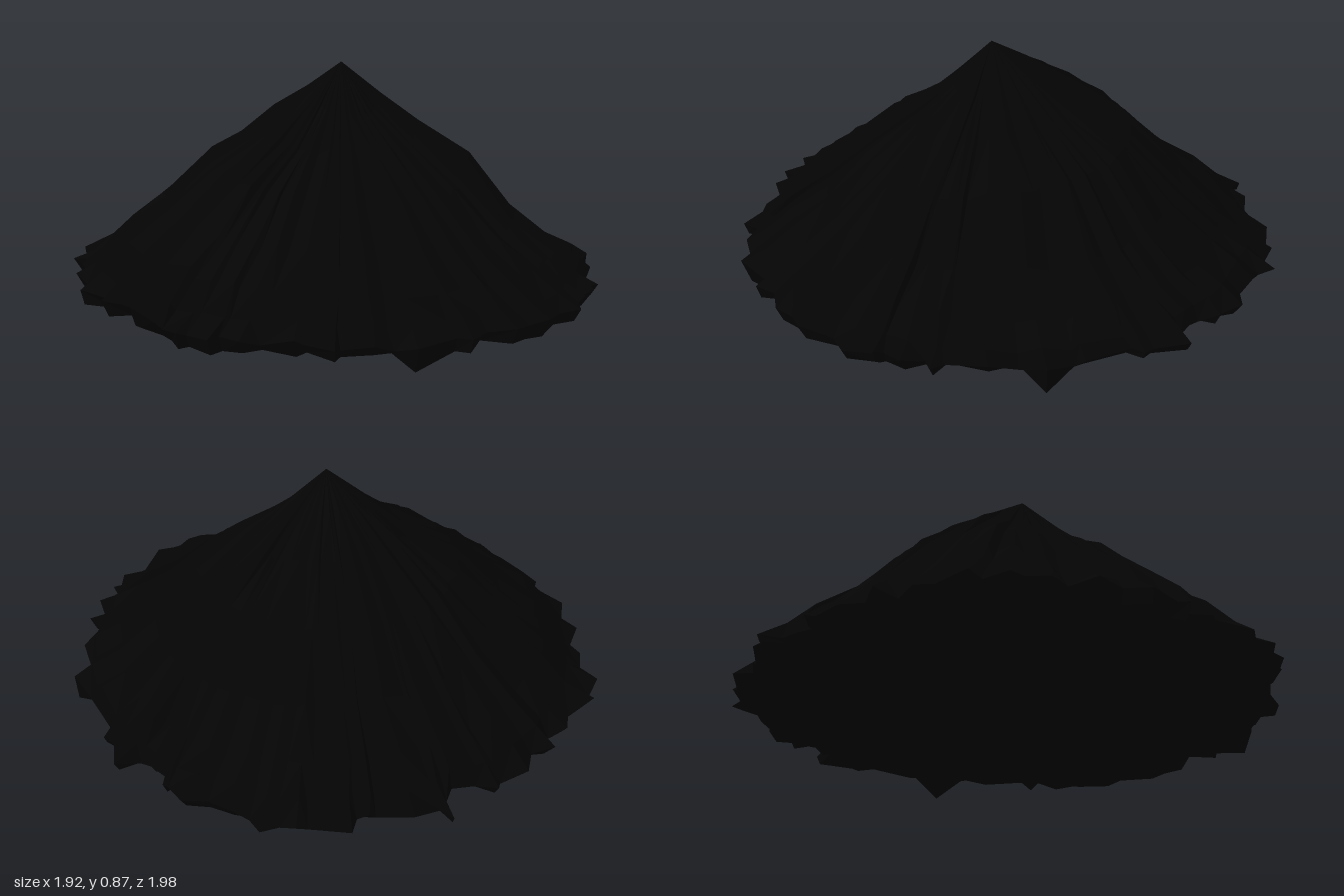
import * as THREE from 'three';

// Rim teeth: [angle in degrees from +x towards +z, radius]
const TEETH = [
  [-1, 0.93], [12, 0.9], [21, 0.95], [33, 0.925], [44.5, 0.955], [51, 0.96], [57, 0.955],
  [63.5, 0.985], [75.5, 0.99], [84, 0.985], [94.5, 0.985], [106, 1.0], [114, 0.975],
  [121.5, 1.0], [129.5, 0.945], [140, 0.98], [146, 1.0], [153, 1.0], [160, 0.97],
  [171, 0.92], [180, 0.955], [190, 0.975], [201, 0.965], [210, 0.95], [218, 1.01],
  [225.5, 1.01], [236.5, 0.96], [244.5, 0.975], [253, 0.96], [262, 0.96], [271, 0.88],
  [274.5, 1.0], [282, 0.96], [291, 0.92], [295, 0.98], [306, 0.98], [313, 1.0],
  [320, 0.94], [331, 0.97], [337, 0.94], [344, 0.885], [349.4, 0.98],
];
// Slope heights at each share of the rim radius, towards +x, +z, -x and -z
const SHARES = [0.15, 0.3, 0.5, 0.68, 0.83, 0.93, 1];
const HEIGHTS = [
  [0.755, 0.64, 0.52, 0.3, 0.185, 0.125, 0.08],
  [0.695, 0.585, 0.435, 0.295, 0.205, 0.14, 0.095],
  [0.735, 0.605, 0.495, 0.355, 0.255, 0.15, 0.1],
  [0.775, 0.68, 0.525, 0.345, 0.215, 0.14, 0.07],
];
const APEX = new THREE.Vector3(-0.025, 0.87, 0.055);
const BASE_Y = 0.055;

function seeded(seed) {
  return () => {
    seed = (seed * 16807) % 2147483647;
    return seed / 2147483647 * 2 - 1; // -1 to 1
  };
}

// Teeth with a notch between each pair
function makeRim(rand) {
  const rim = [];
  TEETH.forEach(([angle, r], i) => {
    const [a2, r2] = TEETH[(i + 1) % TEETH.length];
    const gap = (a2 - angle + 360) % 360;
    rim.push({ angle, r, tooth: i });
    rim.push({ angle: angle + gap * (0.5 + rand() * 0.38), r: (r + r2) / 2 * (0.96 + rand() * 0.02), tooth: -1 });
  });
  return rim;
}

// Height of ring i, blended between the two nearest directions
function slopeHeight(i, angle) {
  const quarter = ((angle + 360) % 360) / 90;
  const q = Math.floor(quarter);
  const blend = THREE.MathUtils.smoothstep(quarter - q, 0, 1);
  return THREE.MathUtils.lerp(HEIGHTS[q][i], HEIGHTS[(q + 1) % 4][i], blend);
}

function polar(angle, r, y, centreShare = 0) {
  const a = THREE.MathUtils.degToRad(angle);
  return new THREE.Vector3(
    Math.cos(a) * r + APEX.x * centreShare, y, Math.sin(a) * r + APEX.z * centreShare);
}

// Faceted geometry from a list of triangle corners
function facets(points) {
  const geometry = new THREE.BufferGeometry().setFromPoints(points);
  geometry.computeVertexNormals();
  return geometry;
}

// Strip of faces between two rings
function bridge(inner, outer, out) {
  inner.forEach((a, j) => {
    const k = (j + 1) % inner.length;
    const b = inner[k], c = outer[j], d = outer[k];
    if (j % 2) out.push(a, b, c, b, d, c);
    else out.push(a, b, d, a, d, c);
  });
}

export function createModel() {
  const group = new THREE.Group();
  const black = new THREE.MeshStandardMaterial({ color: 0x040404 });
  black.name = 'black';

  const rand = seeded(4271);
  const rim = makeRim(rand);
  const pleat = rim.map((p) => (p.tooth >= 0 ? 0.006 : -0.006) + rand() * 0.009);

  // Pleated rings from the peak down to the rim
  const rings = SHARES.map((share, i) => rim.map((p, j) => {
    const last = share === 1;
    const size = Math.min(1, share * 2.5);
    const r = last ? p.r : (p.r * 0.3 + 0.95 * 0.7) * share + rand() * 0.008 * size;
    const y = slopeHeight(i, p.angle) + (pleat[j] + rand() * 0.009) * size;
    return polar(p.angle + (last ? 0 : rand() * 0.8), r, y, 1 - share);
  }));

  const slopeFaces = [];
  rings[0].forEach((c, j) => slopeFaces.push(APEX, rings[0][(j + 1) % rim.length], c));
  for (let i = 0; i < rings.length - 1; i++) bridge(rings[i], rings[i + 1], slopeFaces);

  // Ragged lower edge, with two teeth reaching the ground
  const hem = rim.map((p) => {
    const touches = p.tooth === 2 || p.tooth === 11;
    return polar(p.angle, p.r * (0.97 + rand() * 0.02), touches ? 0 : 0.05 + rand() * 0.012);
  });
  const hemFaces = [];
  bridge(rings[rings.length - 1], hem, hemFaces);

  // Flat underside, set in from the hem
  const base = rim.map((p) => polar(p.angle, p.r * 0.92, BASE_Y));
  bridge(hem, base, hemFaces);
  const centre = new THREE.Vector3(0, BASE_Y, 0);
  const baseFaces = [];
  base.forEach((p, j) => baseFaces.push(centre, p, base[(j + 1) % base.length]));

  const parts = { pleatedSlope: slopeFaces, raggedHem: hemFaces, underside: baseFaces };
  for (const [name, points] of Object.entries(parts)) {
    const mesh = new THREE.Mesh(facets(points), black);
    mesh.name = name;
    group.add(mesh);
  }
  return group;
}
